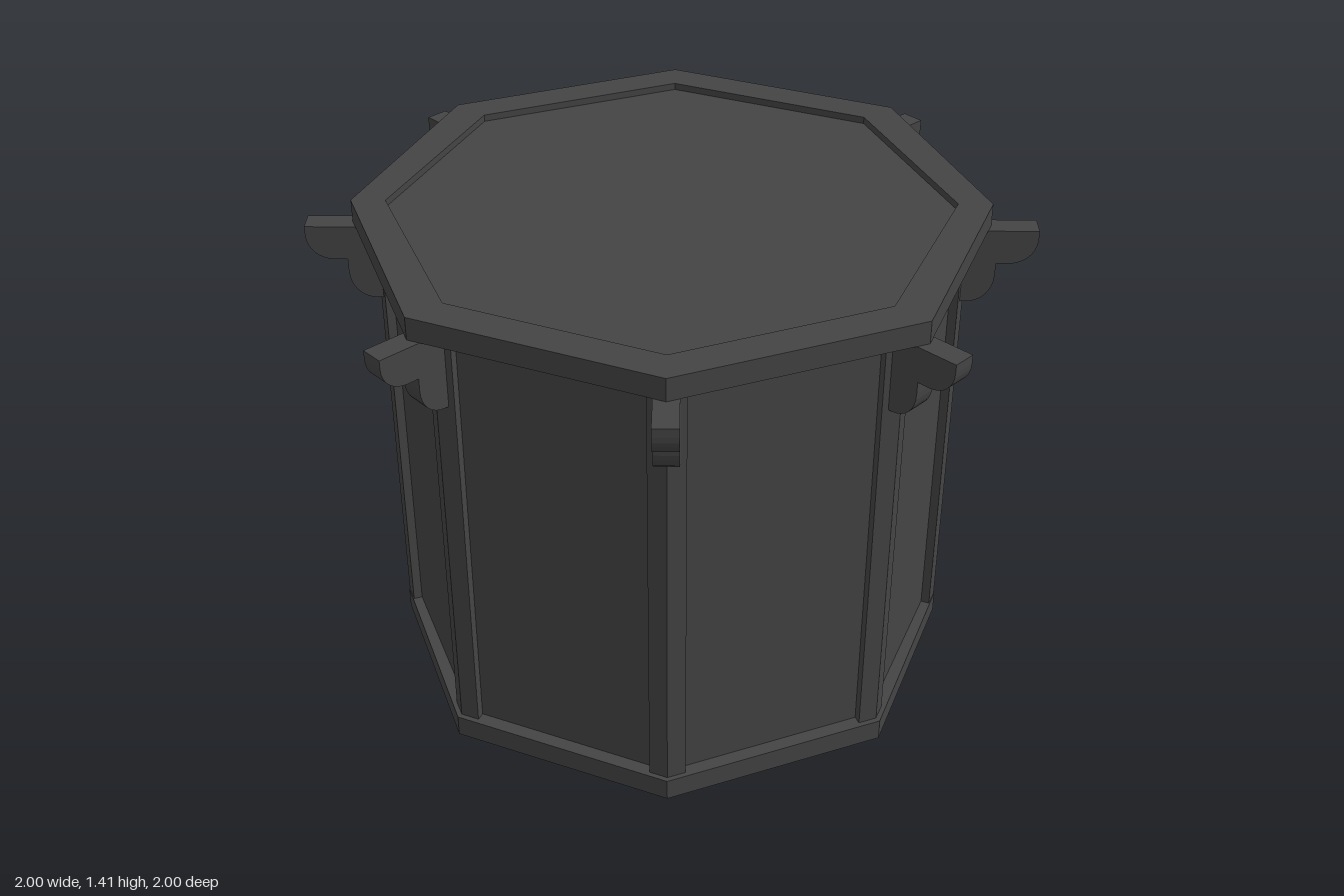
import * as THREE from 'three';

const material = new THREE.MeshStandardMaterial({ color: 0x444444, flatShading: true });

// Corners of a slightly irregular octagon: points on the axes (ax, az) and diagonals (dx, dz)
function octagon(ax, az, dx, dz) {
  return [[ax, 0], [dx, dz], [0, az], [-dx, dz], [-ax, 0], [-dx, -dz], [0, -az], [dx, -dz]]
    .map(([x, z]) => new THREE.Vector2(x, z));
}

// Upright prism from a plan outline, between heights y0 and y1
function prism(name, points, y0, y1, hole) {
  const shape = new THREE.Shape(points);
  if (hole) shape.holes.push(new THREE.Path(hole));
  const geometry = new THREE.ExtrudeGeometry(shape, { depth: y1 - y0, bevelEnabled: false });
  geometry.rotateX(-Math.PI / 2).translate(0, y0, 0);
  const mesh = new THREE.Mesh(geometry, material);
  mesh.name = name;
  return mesh;
}

// Scrolled bracket: two stacked quarter-round lobes, profile is radius against height
function bracketGeometry() {
  const width = 0.066;
  const s = new THREE.Shape();
  s.moveTo(0.76, 1.35);
  s.lineTo(1.0, 1.35);
  s.lineTo(1.0, 1.325);
  s.bezierCurveTo(1.0, 1.28, 0.965, 1.25, 0.925, 1.25);
  s.lineTo(0.89, 1.25);
  s.lineTo(0.89, 1.215);
  s.bezierCurveTo(0.89, 1.165, 0.86, 1.13, 0.815, 1.13);
  s.lineTo(0.76, 1.13);
  s.closePath();
  return new THREE.ExtrudeGeometry(s, { depth: width, bevelEnabled: false, curveSegments: 8 })
    .translate(0, 0, -width / 2);
}

export function createModel() {
  const model = new THREE.Group();
  model.name = 'octagonalTable';

  // Base: raised rim with a slightly recessed underside
  const baseInner = octagon(0.73, 0.74, 0.535, 0.517);
  model.add(prism('baseRim', octagon(0.815, 0.83, 0.602, 0.58), 0, 0.065, baseInner));
  model.add(prism('basePanel', baseInner, 0.02, 0.065));

  // Wall panels, set back behind the corner posts
  const corners = octagon(0.813, 0.815, 0.592, 0.568);
  const inner = corners.map(p => p.clone().multiplyScalar(0.967));
  model.add(prism('wallPanels', inner, 0.06, 1.36));

  // Angled corner posts that wrap each corner
  const posts = new THREE.Group();
  posts.name = 'cornerPosts';
  const setback = 0.035, reach = 0.054;
  corners.forEach((corner, i) => {
    const along = k => corners[(i + k) % 8].clone().sub(corner).normalize();
    const next = along(1), prev = along(7);
    const a = corner.clone().addScaledVector(next, reach);
    const b = corner.clone().addScaledVector(prev, reach);
    const inA = a.clone().add(new THREE.Vector2(-next.y, next.x).multiplyScalar(setback));
    const inB = b.clone().add(new THREE.Vector2(prev.y, -prev.x).multiplyScalar(setback));
    posts.add(prism('cornerPost', [corner, a, inA, inB, b], 0.06, 1.355));
  });
  model.add(posts);

  // Brackets under the top, one at each corner
  const brackets = new THREE.Group();
  brackets.name = 'brackets';
  const geometry = bracketGeometry();
  corners.forEach(corner => {
    const bracket = new THREE.Mesh(geometry, material);
    bracket.name = 'bracket';
    bracket.rotation.y = Math.atan2(corner.y, corner.x);
    brackets.add(bracket);
  });
  model.add(brackets);

  // Top: framed slab with a sunken centre
  const topInner = octagon(0.777, 0.782, 0.56, 0.547);
  model.add(prism('topFrame', octagon(0.872, 0.887, 0.645, 0.618), 1.35, 1.415, topInner));
  model.add(prism('topPanel', topInner, 1.35, 1.395));

  return model;
}
